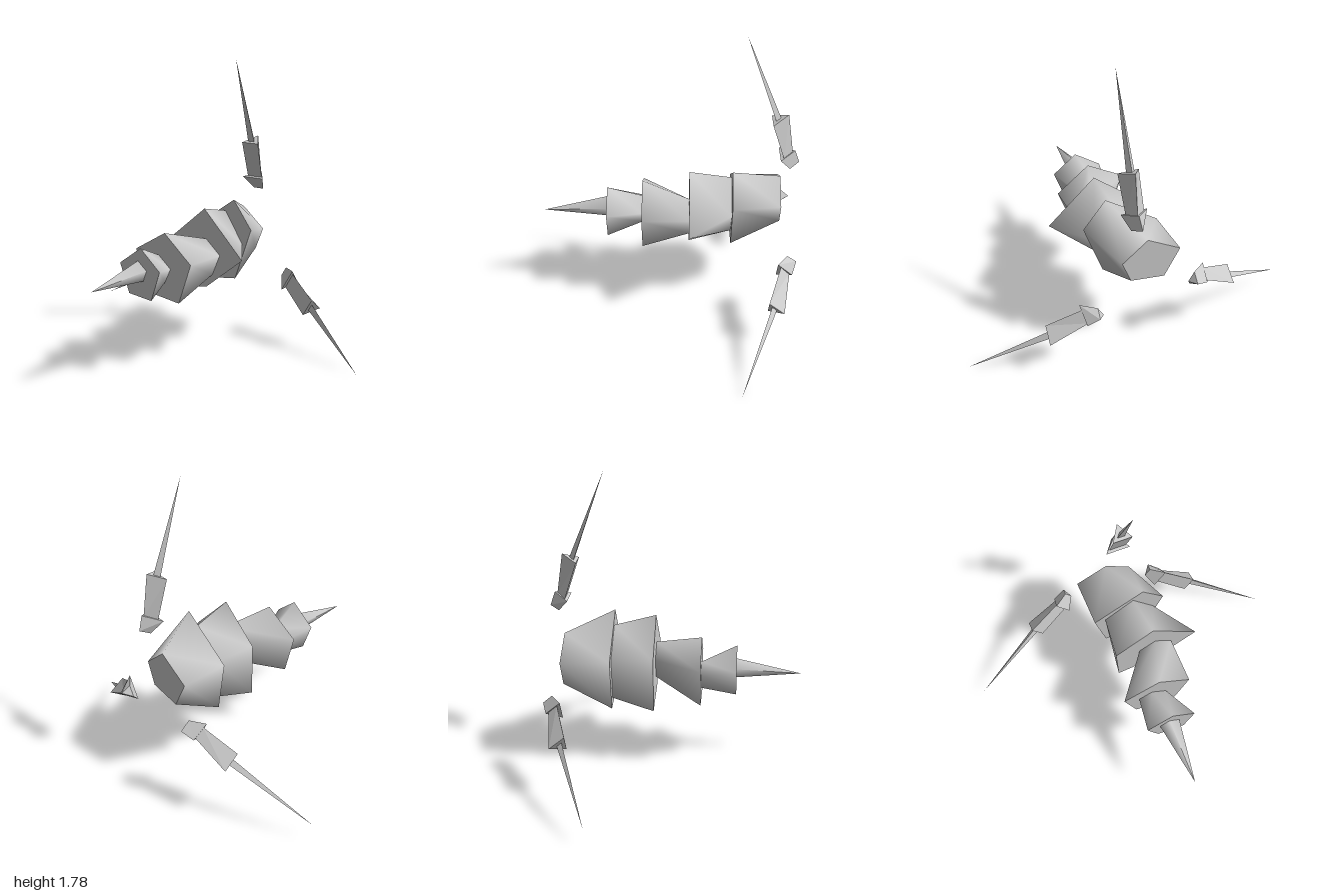
import * as THREE from 'three';

const material = new THREE.MeshStandardMaterial({ color: 0xcccccc });
const flatMaterial = new THREE.MeshStandardMaterial({ color: 0xcccccc, flatShading: true });

// Capped solid between two rings; both run counter-clockwise seen from the end of ring b.
// The caps have their own vertices, so the sides stay smooth and the rims sharp.
function loft(name, a, b, mat) {
  const n = a.length;
  const index = [];
  for (let i = 0; i < n; i++) {
    const j = (i + 1) % n;
    index.push(i, j, n + j, i, n + j, n + i);
  }
  for (let i = 1; i < n - 1; i++) {
    index.push(2 * n, 2 * n + i + 1, 2 * n + i);
    index.push(3 * n, 3 * n + i, 3 * n + i + 1);
  }
  const geometry = new THREE.BufferGeometry();
  geometry.setAttribute('position', new THREE.Float32BufferAttribute([...a, ...b, ...a, ...b].flat(), 3));
  geometry.setIndex(index);
  geometry.computeVertexNormals();
  const mesh = new THREE.Mesh(geometry, mat);
  mesh.name = name;
  return mesh;
}

// Five-sided ring across the body: [y, z] corners from the top towards +z
const ring = (x, corners) => corners.map(([y, z]) => [x, y, z]);

// Three-sided ring of an arm: one outer corner and two inner corners
const triangle = (outer, x, y, zLow, zHigh) => [outer, [x, y, zLow], [x, y, zHigh]];

function createArm() {
  const arm = new THREE.Group();
  arm.name = 'arm';
  const tip = [0.419, 1.788, 0.1];
  arm.add(
    loft('armKnuckle',
      triangle([0.755, 0.978, 0.075], 0.7, 0.955, 0.048, 0.118),
      triangle([0.727, 1.06, 0.086], 0.64, 1.03, 0.002, 0.155), flatMaterial),
    loft('armSegment',
      triangle([0.713, 1.046, 0.088], 0.66, 1.03, 0.028, 0.134),
      triangle([0.675, 1.297, 0.09], 0.585, 1.258, 0.032, 0.153), flatMaterial),
    loft('armSpike',
      triangle([0.632, 1.276, 0.09], 0.604, 1.264, 0.065, 0.112),
      [tip, tip, tip], flatMaterial)
  );
  return arm;
}

export function createModel() {
  const model = new THREE.Group();
  model.name = 'segmentedCreature';

  // Body: tapered segments, each wider at its rear end
  const segments = [
    {
      rear: ring(0.372, [[0.936, 0.134], [0.764, 0.267], [0.44, 0.15], [0.398, -0.125], [0.72, -0.185]]),
      front: ring(0.663, [[0.829, 0], [0.705, 0.15], [0.571, 0.096], [0.544, -0.107], [0.716, -0.198]])
    },
    {
      rear: ring(0.121, [[0.918, 0.105], [0.646, 0.388], [0.44, 0.125], [0.391, -0.13], [0.72, -0.138]]),
      front: ring(0.372, [[0.861, 0.07], [0.67, 0.2], [0.5, 0.1], [0.45, -0.085], [0.71, -0.117]])
    },
    {
      rear: ring(-0.159, [[0.809, 0.035], [0.65, 0.233], [0.405, 0.144], [0.43, -0.115], [0.68, -0.19]]),
      front: ring(0.121, [[0.737, 0.12], [0.65, 0.224], [0.524, 0.17], [0.53, 0.06], [0.66, 0.014]])
    },
    {
      rear: ring(-0.37, [[0.761, 0.04], [0.645, 0.184], [0.467, 0.12], [0.48, -0.05], [0.65, -0.12]]),
      front: ring(-0.159, [[0.671, -0.01], [0.6, 0.08], [0.515, 0.04], [0.52, -0.055], [0.62, -0.095]])
    }
  ];
  segments.forEach(({ rear, front }, i) => model.add(loft(`bodySegment${i + 1}`, rear, front, material)));

  // Tail spike
  const tailTip = ring(-0.755, Array(5).fill([0.592, 0.035]));
  const tailBase = ring(-0.37, [[0.685, 0.02], [0.635, 0.085], [0.571, 0.06], [0.575, -0.01], [0.64, -0.04]]);
  model.add(loft('tailSpike', tailTip, tailBase, material));

  // Three floating arms turned around the body axis
  for (let k = 0; k < 3; k++) {
    const arm = createArm();
    arm.children.forEach((part) => part.geometry.translate(0, -0.637, -0.038));
    arm.position.set(0, 0.637, 0.038);
    arm.rotation.x = (k * Math.PI * 2) / 3;
    arm.name = ['upperArm', 'frontArm', 'backArm'][k];
    model.add(arm);
  }
  return model;
}
